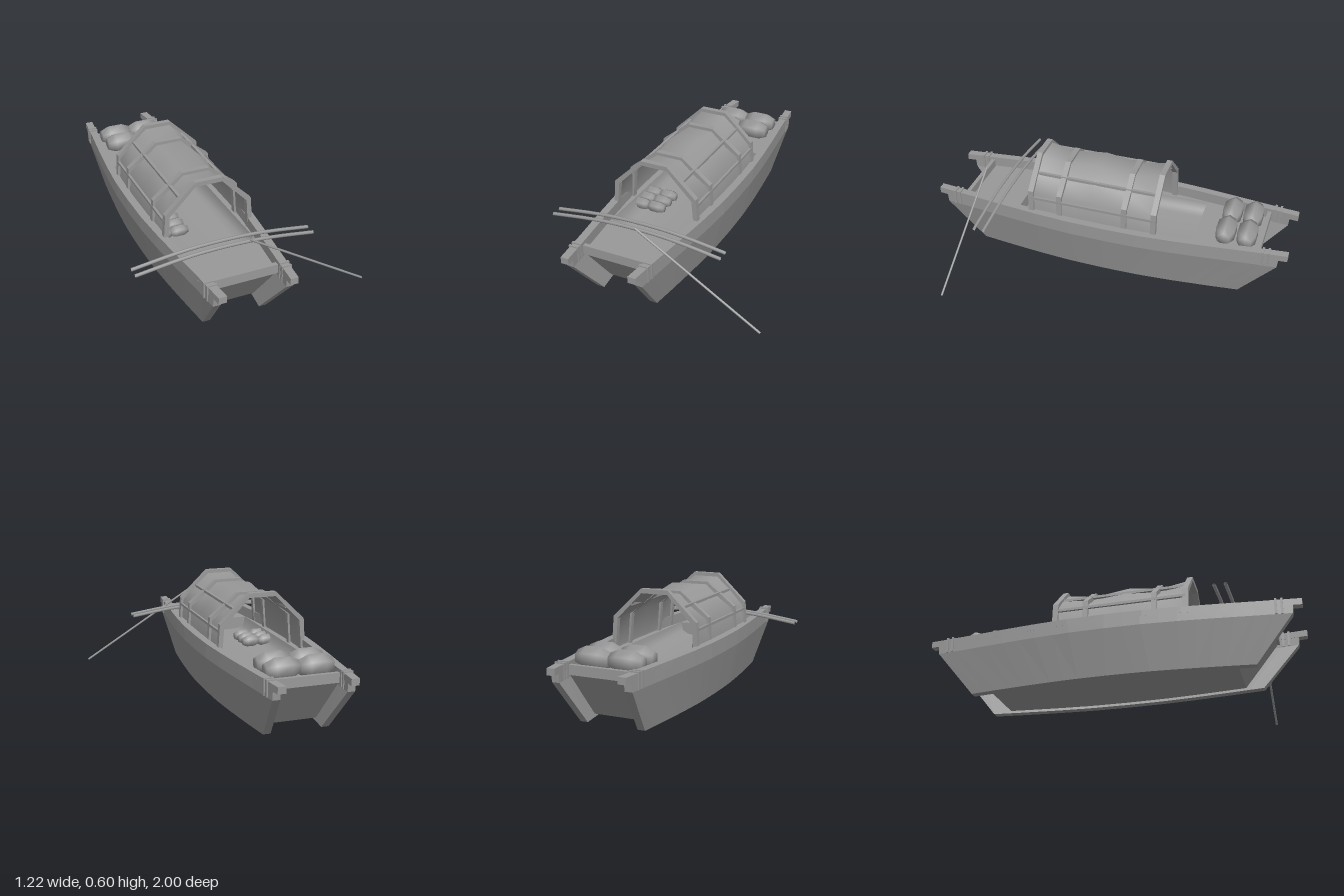
import * as THREE from 'three';

const CX = -0.13; // centre line of the boat
const flat = new THREE.MeshStandardMaterial({ color: 0x999999, flatShading: true, side: THREE.DoubleSide });
const smooth = new THREE.MeshStandardMaterial({ color: 0x999999, side: THREE.DoubleSide });

// Surface through rows of [x, y, z] points
function loft(rows, closed = false) {
  const n = rows[0].length, idx = [];
  for (let i = 0; i < rows.length - 1; i++) {
    for (let j = 0; j < (closed ? n : n - 1); j++) {
      const k = (j + 1) % n;
      const a = i * n + j, b = i * n + k, c = a + n, d = b + n;
      idx.push(a, b, d, a, d, c);
    }
  }
  // Closed sections are capped at both ends
  if (closed) {
    for (const s of [0, (rows.length - 1) * n]) {
      for (let j = 0; j < n / 2 - 1; j++) {
        const a = s + j, b = a + 1, c = s + n - 1 - j, d = c - 1;
        idx.push(a, b, d, a, d, c);
      }
    }
  }
  const g = new THREE.BufferGeometry();
  g.setAttribute('position', new THREE.Float32BufferAttribute(rows.flat(2), 3));
  g.setIndex(idx);
  g.computeVertexNormals();
  return g;
}

// Half width of the hull at the gunwale
const outline = [[0, 0.285], [0.2, 0.282], [0.4, 0.268], [0.6, 0.248], [0.8, 0.225], [1, 0.205]];
function halfWidth(z) {
  const a = Math.min(Math.abs(z), 0.9999), i = Math.floor(a / 0.2);
  return THREE.MathUtils.lerp(outline[i][1], outline[i + 1][1], (a - outline[i][0]) / 0.2);
}
const flare = (y) => (y < 0.24 ? 0.055 * (1 - y / 0.24) : 0);
const innerHalf = (y, z) => halfWidth(z) - flare(y) - 0.038;

export function createModel() {
  const model = new THREE.Group();
  const boat = new THREE.Group();
  boat.name = 'boat';
  boat.position.x = CX;
  model.add(boat);

  function add(name, geo, mat = flat, parent = boat) {
    const m = new THREE.Mesh(geo, mat);
    m.name = name;
    parent.add(m);
    return m;
  }
  function box(name, w, h, d, x, y, z) {
    add(name, new THREE.BoxGeometry(w, h, d)).position.set(x, y, z);
  }
  // Horizontal or sloping panel fitted between the side planks
  function panel(name, stations) {
    add(name, loft(stations.map(([y, z]) => [-1, 1].map((s) => [s * innerHalf(y, z), y, z]))));
  }

  const steps = Array.from({ length: 21 }, (_, i) => -1 + i / 10);
  for (const s of [-1, 1]) {
    // Side plank: raked at both ends, flared outwards
    const levels = [[0.3, 0.955], [0.24, 0.95], [0, 0.755]];
    add('sidePlank', loft(steps.map((t) => {
      const pt = (y, e, inset) => [s * (halfWidth(t * e) - flare(y) - inset), y, t * e];
      return [...levels.map(([y, e]) => pt(y, e, 0)), ...[...levels].reverse().map(([y, e]) => pt(y, e, 0.04))];
    }), true));

    // Gunwale running past the ends of the hull
    add('gunwale', loft(steps.map((z) => {
      const w = halfWidth(z);
      return [[w, 0.285], [w, 0.32], [w - 0.042, 0.32], [w - 0.042, 0.285]].map(([x, y]) => [s * x, y, z]);
    }), true));

    // Cleats near the ends of the gunwales
    for (const z of [-0.9, -0.87, 0.87, 0.9]) box('cleat', 0.052, 0.085, 0.012, s * (halfWidth(z) - 0.02), 0.284, z);

    // Side deck between hold and plank
    add('sideDeck', loft(steps.map((t) => 0.025 + t * 0.505).map((z) =>
      [[s * 0.212, 0.26, z], [s * innerHalf(0.26, z), 0.26, z]])));
  }

  // Bottom, end boards and decks
  panel('bottomPanel', [-0.66, -0.4, -0.2, 0, 0.2, 0.4, 0.66].map((z) => [0.015, z]));
  for (const s of [-1, 1]) {
    panel('endBoard', [[0.015, s * 0.66], [0.26, s * 0.84]]);
    panel('endDeck', [[0.26, s * 0.84], [0.26, s * 0.7], [0.26, s > 0 ? 0.53 : -0.48]]);
    box('crossbar', 0.355, 0.05, 0.022, 0, 0.28, s * 0.84);
  }

  // Hold: shallow rounded trough with end walls
  const trough = [[-0.212, 0.26], [-0.2, 0.21], [-0.16, 0.19], [0, 0.185], [0.16, 0.19], [0.2, 0.21], [0.212, 0.26]];
  add('hold', loft([-0.48, 0.53].map((z) => trough.map(([x, y]) => [x, y, z]))), smooth);
  for (const z of [-0.48, 0.53]) {
    add('holdEnd', loft([trough.map(([x, y]) => [x, y, z]), trough.map(([x]) => [x, 0.26, z])]));
  }

  // Canopy sheet sagging between its hoops
  const sheetRows = [[-0.28, 0.578], [-0.11, 0.55], [0.08, 0.575], [0.26, 0.55], [0.42, 0.578]].map(([z, h]) => {
    const half = [[0.235, 0.27], [0.224, 0.425], [0.15, h - 0.073], [0.07, h]];
    return [...half, ...half.map(([x, y]) => [-x, y]).reverse()].map(([x, y]) => [x, y, z]);
  });
  add('canopySheet', loft(sheetRows), smooth);

  // Canopy hoops
  function hoop(z, top, t) {
    const outer = [[0.25, 0.24], [0.236, 0.44], [0.075, top]];
    const inner = [[0.073, top - t], [0.236 - t, 0.428], [0.25 - t, 0.24]];
    const right = [...outer, ...outer.map(([x, y]) => [-x, y]).reverse()];
    const back = [...inner.map(([x, y]) => [-x, y]).reverse(), ...inner];
    const shape = new THREE.Shape([...right, ...back].map(([x, y]) => new THREE.Vector2(x, y)));
    const g = new THREE.ExtrudeGeometry(shape, { depth: 0.03, bevelEnabled: false });
    add('canopyHoop', g).position.z = z - 0.015;
  }
  hoop(0.42, 0.595, 0.024);
  hoop(-0.28, 0.595, 0.024);
  hoop(0.255, 0.568, 0.024);
  hoop(-0.115, 0.568, 0.024);

  // Lengthwise canopy battens
  for (const s of [-1, 1]) {
    box('canopyBatten', 0.016, 0.014, 0.7, s * 0.142, 0.506, 0.07);
    box('canopyBatten', 0.012, 0.014, 0.7, s * 0.234, 0.4, 0.07);
  }

  // Six-sided sack lying along x, a ridge pointing up
  function sack(x, y, z, k) {
    const pts = [[0, -0.088], [0.036, -0.088], [0.058, -0.04], [0.058, 0.04], [0.036, 0.088], [0, 0.088]];
    const g = new THREE.LatheGeometry(pts.map(([r, h]) => new THREE.Vector2(r, h)), 6);
    g.rotateZ(Math.PI / 2).rotateX(Math.PI / 2);
    const m = add('sack', g, smooth);
    m.position.set(x, y, z);
    m.scale.setScalar(k);
  }
  for (const x of [-0.088, 0.088]) for (const z of [-0.765, -0.65]) sack(x, 0.327, z, 1);
  for (const x of [-0.183, -0.093]) for (const z of [0.12, 0.188, 0.256]) sack(x, 0.22, z, 0.56);

  // Bent poles laid across the bow
  for (const z of [0.605, 0.66]) {
    const path = [[-0.48, 0.3], [-0.27, 0.328], [-0.12, 0.34], [0.12, 0.34], [0.27, 0.328], [0.48, 0.3]];
    const curve = new THREE.CatmullRomCurve3(path.map(([x, y]) => new THREE.Vector3(x, y, z)));
    add('crossPole', new THREE.TubeGeometry(curve, 16, 0.009, 6), smooth);
  }

  // Long slanting punting pole
  const a = new THREE.Vector3(-0.06, 0.42, 0.76), b = new THREE.Vector3(0.607, 0.01, 0.76);
  add('puntPole', new THREE.TubeGeometry(new THREE.LineCurve3(a, b), 1, 0.006, 6), smooth, model);

  return model;
}
